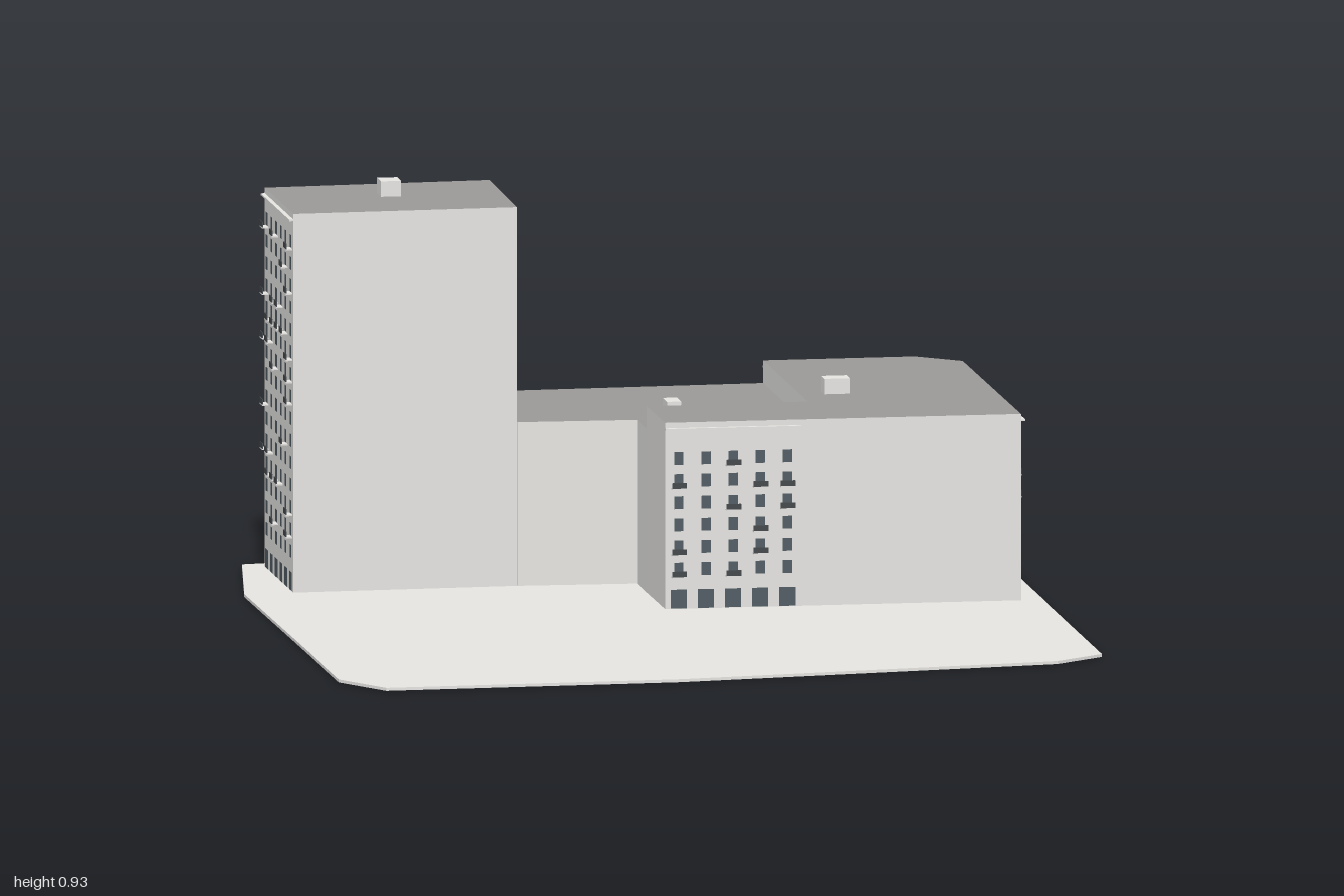
import * as THREE from 'three';
import { mergeGeometries } from 'three/addons/utils/BufferGeometryUtils.js';

const mat = (name, color, side = THREE.FrontSide) => {
  const m = new THREE.MeshStandardMaterial({ color, side });
  m.name = name;
  return m;
};

export function createModel() {
  const model = new THREE.Group();
  model.name = 'cornerBuilding';
  const wall = mat('paleWall', 0xe6e5e2);
  const ground = mat('paving', 0xe6e5e2, THREE.DoubleSide);
  const roof = mat('greyRoof', 0x9a9997);
  const glass = mat('darkGlass', 0x505c63, THREE.DoubleSide);
  const rail = mat('darkRailing', 0x43484b);

  const add = (name, geo, material, parent = model) => {
    const mesh = new THREE.Mesh(geo, material);
    mesh.name = name;
    parent.add(mesh);
    return mesh;
  };

  // Upright prism over a plan outline of [x, z] points
  const prism = (plan, y0, y1) => {
    const shape = new THREE.Shape(plan.map(([x, z]) => new THREE.Vector2(x, -z)));
    const geo = new THREE.ExtrudeGeometry(shape, { depth: y1 - y0, bevelEnabled: false });
    return geo.rotateX(-Math.PI / 2).translate(0, y0, 0);
  };

  // Seeded random numbers for the balcony pattern
  let seed = 17;
  const random = () => {
    seed = (seed * 16807) % 2147483647;
    return seed / 2147483647;
  };

  // Ground plate and the thin pavement strip behind it
  add('groundPlate', prism([
    [-0.903, -0.405], [-0.835, -0.835], [-0.35, -0.905], [0.3, -0.93], [0.775, -0.935], [0.903, -0.825],
    [0.903, 0.79], [0.785, 0.875], [-0.12, 0.99], [-0.81, 1], [-0.897, 0.86],
  ], 0.002, 0.009), ground);
  const strip = new THREE.PlaneGeometry(1.18, 0.15).rotateX(-Math.PI / 2).translate(0.045, 0, -0.925);
  add('pavementStrip', strip, ground);

  // Building volumes: dark flat roof on pale walls
  const volumes = {
    tower: [[[-0.788, -0.407], [-0.262, -0.418], [-0.257, -0.82], [-0.788, -0.797]], 0.895],
    middleBlock: [[[-0.26, -0.418], [0.018, -0.405], [0.018, -0.27], [0.395, -0.277],
      [0.395, -0.886], [-0.26, -0.873]], 0.392],
    cornerBlock: [[[0.019, -0.025], [0.85, -0.015], [0.848, -0.8], [0.75, -0.884],
      [0.395, -0.886], [0.395, -0.277], [0.018, -0.27]], 0.445],
  };
  for (const [name, [plan, height]] of Object.entries(volumes)) {
    add(name, prism(plan, 0.005, height), [roof, wall]);
  }

  // Small roof housings: x, z, width, depth, base height
  [[-0.522, -0.647, 0.047, 0.055, 0.895],
    [0.109, -0.46, 0.033, 0.06, 0.392],
    [0.481, -0.396, 0.06, 0.045, 0.445]].forEach(([x, z, w, d, y], i) => {
    add(`roofHousing${i + 1}`, new THREE.BoxGeometry(w, 0.036, d).translate(x, y + 0.018, z), wall);
  });

  // Facade running left to right as seen from outside
  const facade = (name, [ax, az], [bx, bz], height, floors) => {
    const group = new THREE.Group();
    group.name = name;
    const length = Math.hypot(bx - ax, bz - az);
    const bays = Math.floor(length / 0.06);
    const pitch = length / bays;
    const panes = [];
    const slabs = [];
    const railings = [];
    for (let bay = 0; bay < bays; bay++) {
      const x = (bay + 0.5) * pitch;
      panes.push(new THREE.PlaneGeometry(0.038, 0.044).translate(x, 0.032, 0.0015));
      for (let floor = 0; floor < floors; floor++) {
        const y = 0.102 + floor * 0.0518;
        panes.push(new THREE.PlaneGeometry(0.022, 0.03).translate(x, y, 0.0015));
        if (random() < 0.33) {
          // Pale floor slab with a dark railing along its outer edge
          slabs.push(new THREE.BoxGeometry(0.034, 0.003, 0.015).translate(x, y - 0.0185, 0.0075));
          railings.push(new THREE.BoxGeometry(0.034, 0.013, 0.002).translate(x, y - 0.0105, 0.014));
        }
      }
    }
    add('windows', mergeGeometries(panes), glass, group);
    if (slabs.length) {
      add('balconySlabs', mergeGeometries(slabs), wall, group);
      add('balconyRailings', mergeGeometries(railings), rail, group);
    }
    const cornice = new THREE.BoxGeometry(length, 0.004, 0.01).translate(length / 2, height - 0.015, 0.005);
    add('cornice', cornice, wall, group);
    group.position.set(ax, 0, az);
    group.rotation.y = Math.atan2(-(bz - az), bx - ax);
    model.add(group);
  };

  facade('frontFacade', [0.019, -0.025], [0.335, -0.0212], 0.445, 6);
  facade('leftFacade', [0.85, -0.015], [0.848, -0.8], 0.445, 6);
  facade('chamferFacade', [0.848, -0.8], [0.75, -0.884], 0.445, 6);
  facade('cornerBackFacade', [0.75, -0.884], [0.395, -0.886], 0.445, 6);
  facade('middleBackFacade', [0.395, -0.886], [-0.26, -0.873], 0.392, 5);
  facade('towerBackFacade', [-0.257, -0.82], [-0.788, -0.797], 0.895, 15);
  facade('towerRightFacade', [-0.788, -0.797], [-0.788, -0.407], 0.895, 15);

  return model;
}
